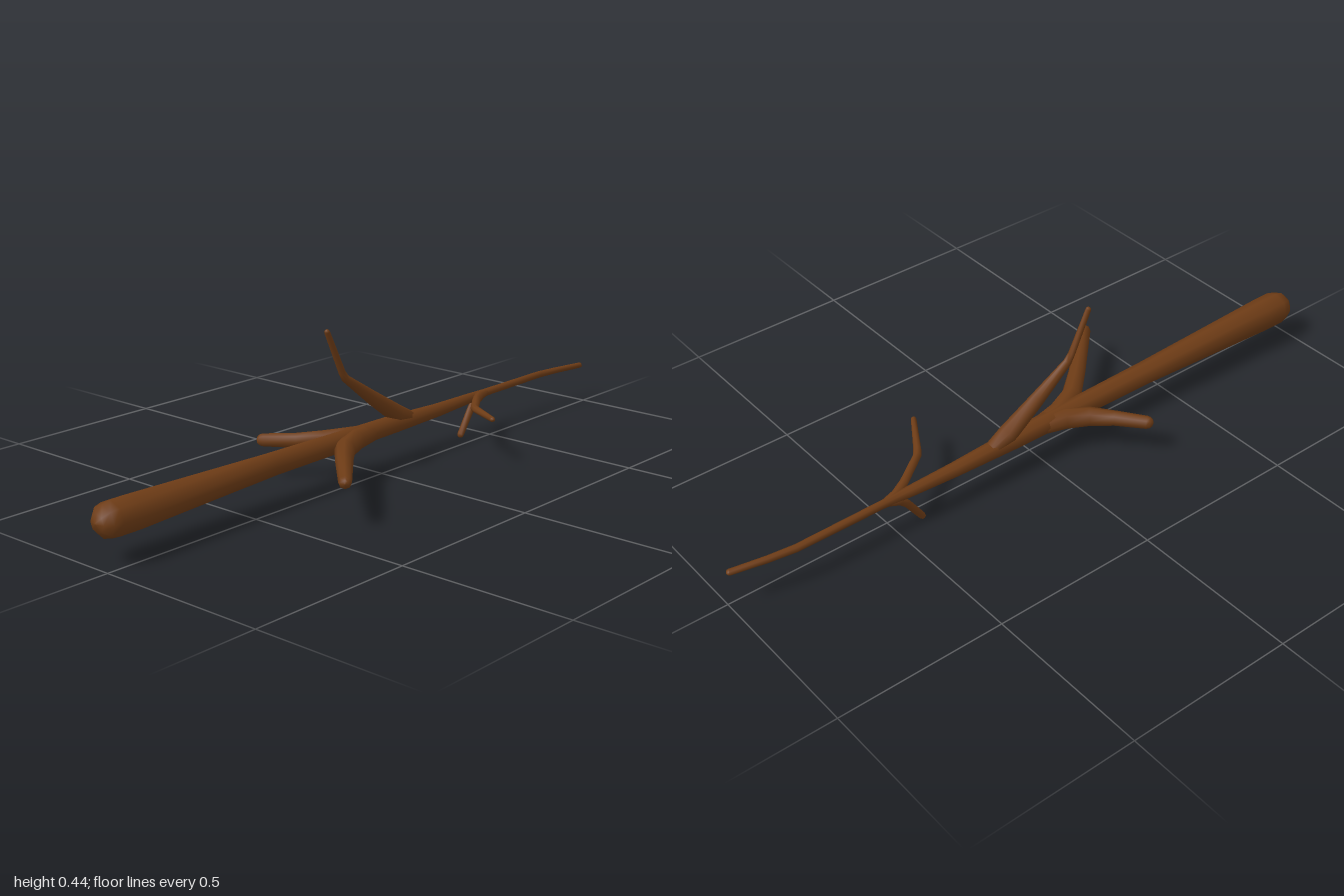
import * as THREE from 'three';

const SIDES = 8;
const bark = new THREE.MeshStandardMaterial({ color: 0x6e3c16, roughness: 0.9 });

// Tapered limb with rounded ends, swept through stations [x, y, z, radius].
// 'ref' is a direction off the limb's bending plane that keeps the rings untwisted.
function limb(name, stations, ref) {
  const rings = stations.map(([x, y, z, r]) => ({ p: new THREE.Vector3(x, y, z), r }));
  const n = rings.length;
  rings.forEach((ring, i) => {
    ring.t = new THREE.Vector3();
    if (i > 0) ring.t.add(ring.p.clone().sub(rings[i - 1].p).normalize());
    if (i < n - 1) ring.t.add(rings[i + 1].p.clone().sub(ring.p).normalize());
    ring.t.normalize();
  });

  // Rounded ends: shrinking rings beyond the first and last stations
  const cap = (ring, sign) => [[0.5, 0.87], [0.87, 0.5], [1, 0]].map(([d, s]) => ({
    p: ring.p.clone().addScaledVector(ring.t, sign * d * ring.r), r: ring.r * s, t: ring.t,
  }));
  const all = [...cap(rings[0], -1).reverse(), ...rings, ...cap(rings[n - 1], 1)];

  const pos = [], index = [];
  all.forEach(({ p, r, t }, i) => {
    const b = t.clone().cross(ref).normalize();
    const a = b.clone().cross(t);
    for (let j = 0; j < SIDES; j++) {
      const w = (j / SIDES) * Math.PI * 2;
      const v = p.clone().addScaledVector(a, r * Math.cos(w)).addScaledVector(b, r * Math.sin(w));
      pos.push(v.x, v.y, v.z);
      if (i === all.length - 1) continue;
      const k = i * SIDES + j, l = i * SIDES + ((j + 1) % SIDES);
      index.push(k, l, k + SIDES, l, l + SIDES, k + SIDES);
    }
  });
  const geo = new THREE.BufferGeometry();
  geo.setAttribute('position', new THREE.Float32BufferAttribute(pos, 3));
  geo.setIndex(index);
  geo.computeVertexNormals();
  const mesh = new THREE.Mesh(geo, bark);
  mesh.name = name;
  return mesh;
}

export function createModel() {
  const group = new THREE.Group();
  group.name = 'branch';
  const UP = new THREE.Vector3(0, 1, 0), SIDE = new THREE.Vector3(1, 0, 0);
  const X = -0.045;

  group.add(
    // Main stem, thick end forward, thin tip bending sideways at the back
    limb('mainStem', [
      [X, 0.115, 0.945, 0.05], [X, 0.115, 0.88, 0.05], [X, 0.118, 0.4, 0.034],
      [X, 0.117, 0.15, 0.031], [X, 0.117, -0.1, 0.028], [X, 0.115, -0.3, 0.021],
      [X, 0.118, -0.45, 0.016], [X, 0.12, -0.54, 0.012], [X, 0.12, -0.81, 0.011],
      [-0.034, 0.12, -0.89, 0.01], [-0.014, 0.12, -0.99, 0.009],
    ], UP),

    // Pair of low side branches sweeping forward
    limb('rightBranch', [
      [X, 0.115, 0.0, 0.025], [-0.06, 0.115, 0.08, 0.031], [-0.098, 0.115, 0.14, 0.028],
      [-0.15, 0.115, 0.19, 0.022], [-0.222, 0.115, 0.247, 0.019],
    ], UP),
    limb('leftBranch', [
      [X, 0.115, -0.02, 0.025], [-0.03, 0.115, 0.08, 0.031], [0.01, 0.115, 0.165, 0.029],
      [0.08, 0.119, 0.245, 0.025], [0.22, 0.127, 0.396, 0.018],
    ], UP),

    // Upright branch with an elbow
    limb('upperBranch', [
      [X, 0.115, -0.19, 0.018], [X, 0.145, -0.115, 0.028], [X, 0.215, -0.01, 0.021],
      [X, 0.293, 0.1, 0.012], [X, 0.315, 0.115, 0.01], [X, 0.438, 0.173, 0.008],
    ], SIDE),

    // Small twigs near the back
    limb('lowerTwig', [
      [X, 0.118, -0.53, 0.009], [X, 0.105, -0.485, 0.014], [X, 0.08, -0.46, 0.011],
      [X, 0.013, -0.414, 0.01],
    ], SIDE),
    limb('leftTwig', [
      [X, 0.12, -0.54, 0.01], [-0.035, 0.12, -0.49, 0.014], [-0.01, 0.122, -0.445, 0.013],
      [0.055, 0.128, -0.352, 0.012], [0.075, 0.13, -0.337, 0.011], [0.183, 0.137, -0.27, 0.008],
    ], UP),
  );
  return group;
}
